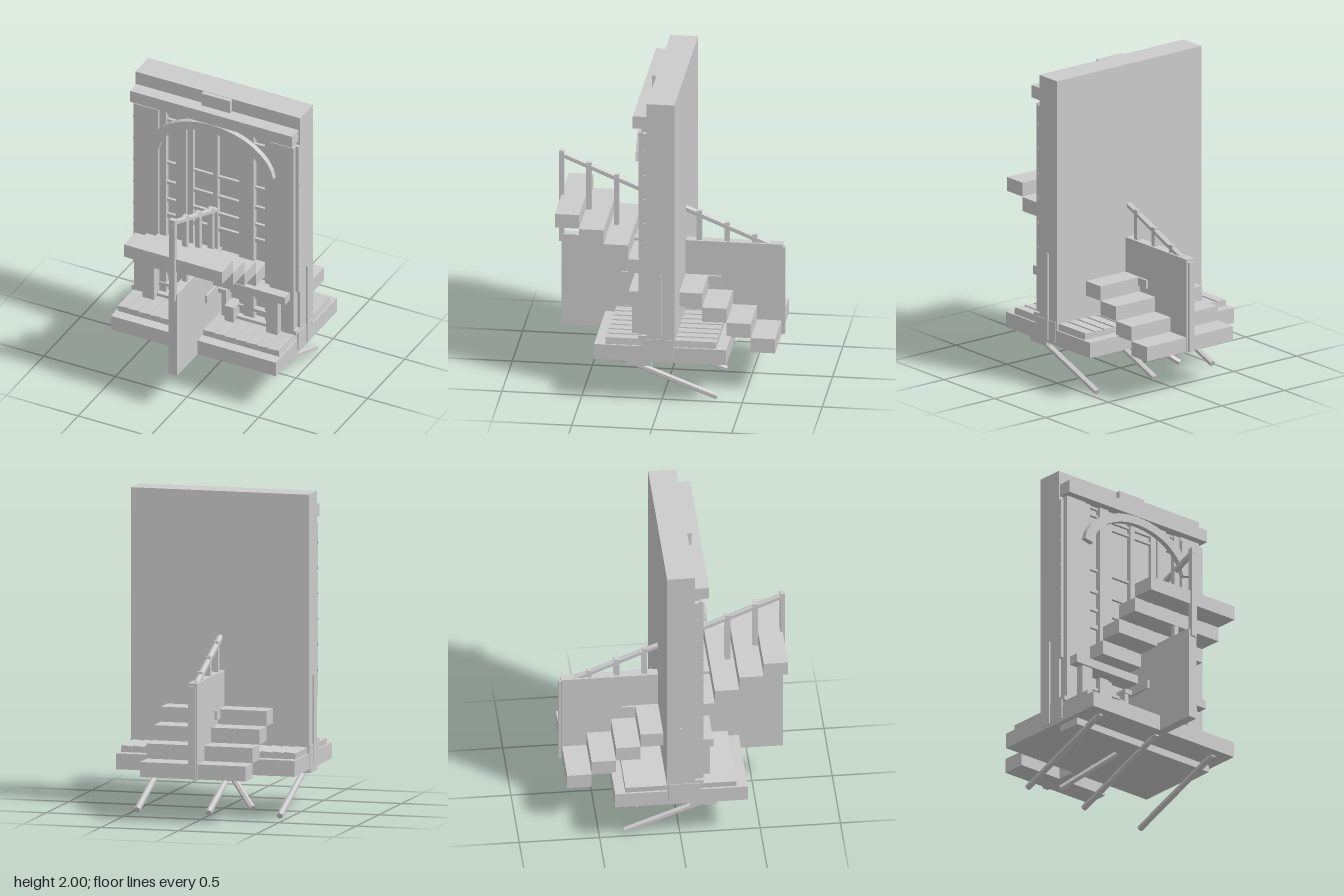
import * as THREE from 'three';

const mat = new THREE.MeshStandardMaterial({ color: 0xcccccc, flatShading: true });

export function createModel() {
  const model = new THREE.Group();

  const add = (name, geometry) => {
    const mesh = new THREE.Mesh(geometry, mat);
    mesh.name = name;
    model.add(mesh);
    return mesh;
  };
  // Box given by its limits on each axis
  const box = (name, x0, x1, y0, y1, z0, z1) => {
    const mesh = add(name, new THREE.BoxGeometry(x1 - x0, y1 - y0, z1 - z0));
    mesh.position.set((x0 + x1) / 2, (y0 + y1) / 2, (z0 + z1) / 2);
    return mesh;
  };
  // The same box on both sides of x = 0
  const pair = (name, x0, x1, ...rest) => {
    box(name + 'Left', x0, x1, ...rest);
    box(name + 'Right', -x1, -x0, ...rest);
  };
  // Six-sided bar between two points
  const bar = (name, a, b, r) => {
    const p = new THREE.Vector3(...a), q = new THREE.Vector3(...b);
    const dir = q.clone().sub(p);
    const mesh = add(name, new THREE.CylinderGeometry(r, r, dir.length(), 6));
    mesh.position.copy(p).add(q).multiplyScalar(0.5);
    mesh.quaternion.setFromUnitVectors(new THREE.Vector3(0, 1, 0), dir.normalize());
  };

  // Main wall, cornice and keystone
  box('wall', -0.575, 0.575, 0.29, 2, -0.087, 0.087);
  box('keystone', -0.1, 0.1, 1.9, 1.998, 0.08, 0.115);
  box('cornice', -0.565, 0.565, 1.83, 1.91, 0.08, 0.175);
  pair('sideStrip', 0.57, 0.585, 0.3, 0.86, -0.008, 0.008);

  // Base with sloping floor boards
  box('base', -0.575, 0.575, 0.28, 0.38, -0.41, 0.415);
  pair('baseEnd', 0.57, 0.58, 0.3, 0.43, -0.08, 0.12);
  for (let i = 0; i < 15; i++) {
    const x = -0.525 + i * 0.075;
    box('floorBoard', x - 0.037, x + 0.037, 0.37, 0.42, -0.345, 0.345).rotation.z = 0.09;
  }
  box('underBeam', -0.54, 0.54, 0.235, 0.285, 0.06, 0.22);

  // Pilasters beside the window
  pair('pilaster', 0.39, 0.555, 0.42, 1.8, 0.08, 0.14);
  pair('pilasterCap', 0.39, 0.54, 1.79, 1.835, 0.08, 0.125);
  pair('pilasterEdge', 0.55, 0.575, 0.72, 1.8, 0.08, 0.11);
  for (const y of [0.87, 1.03, 1.19, 1.35, 1.51, 1.67])
    pair('edgePeg', 0.57, 0.58, y, y + 0.015, 0.09, 0.105);

  // Window frame: wide posts, slim bars and cross bars
  pair('windowPost', 0.2, 0.27, 0.43, 1.83, 0.08, 0.125);
  pair('windowPostEdge', 0.16, 0.2, 0.43, 1.83, 0.08, 0.11);
  pair('windowSide', 0.345, 0.39, 0.43, 1.83, 0.08, 0.115);
  box('windowMullion', -0.015, 0.015, 0.43, 1.83, 0.08, 0.12);
  for (const [y0, y1] of [[0.58, 0.6], [0.84, 0.86], [1.0, 1.03], [1.12, 1.14],
    [1.245, 1.268], [1.395, 1.412], [1.712, 1.73], [1.765, 1.78], [1.815, 1.83]])
    box('windowCrossBar', -0.39, 0.39, y0, y1, 0.08, 0.106);

  // Arched band over the window, built of straight segments
  const arch = new THREE.Shape();
  const N = 16, start = 0.1, span = Math.PI - 2 * start;
  for (let i = 0; i <= N; i++) {
    const a = start + span * i / N;
    arch[i ? 'lineTo' : 'moveTo'](0.435 * Math.cos(a), 1.525 + 0.303 * Math.sin(a));
  }
  for (let i = N; i >= 0; i--) {
    const a = start + span * i / N;
    arch.lineTo(0.37 * Math.cos(a), 1.515 + 0.26 * Math.sin(a));
  }
  arch.closePath();
  const archBand = add('archBand', new THREE.ExtrudeGeometry(arch, { depth: 0.035, bevelEnabled: false }));
  archBand.position.z = 0.14;

  // Lower shelf on posts, with rails between
  box('shelf', -0.53, 0.53, 0.67, 0.725, 0.08, 0.205);
  pair('shelfPost', 0.39, 0.47, 0.42, 0.67, 0.08, 0.19);
  pair('shelfFoot', 0.53, 0.575, 0.42, 0.45, 0.08, 0.14);
  pair('lowRail', 0.1, 0.39, 0.5, 0.52, 0.08, 0.125);
  pair('floorRail', 0.1, 0.39, 0.43, 0.45, 0.08, 0.15);

  // Small stand at the centre
  box('standTop', -0.1, 0.1, 0.6, 0.63, 0.08, 0.17);
  pair('standLeg', 0.065, 0.095, 0.43, 0.6, 0.08, 0.16);
  pair('standFoot', 0.1, 0.165, 0.42, 0.53, 0.08, 0.19);
  box('crossBeam', -0.045, 0.045, 0.6, 0.655, -0.31, 0.315);

  // Central partition in front of and behind the wall
  box('partition', -0.03, 0.03, 0.28, 0.88, -0.69, 0.69);
  box('backEndPost', -0.02, 0.02, 0.28, 0.86, -0.705, -0.685);
  box('frontEndPost', -0.02, 0.02, 0.83, 1.43, 0.675, 0.705);

  // Floating steps, high in front and low behind
  for (let i = 0; i < 4; i++) {
    const zf = 0.69 - i * 0.152, yf = 1.14 - i * 0.093;
    box('frontStep', -0.342, 0.342, yf - 0.09, yf, zf - 0.152, zf);
    const zb = -0.685 + i * 0.152, yb = 0.28 + i * 0.094;
    box('backStep', -0.342, 0.342, yb, yb + 0.094, zb, zb + 0.152);
  }

  // Sloping handrail and balusters
  const railY = z => 1.405 + (z - 0.69) * 0.415;
  bar('handrail', [0, railY(0.7), 0.7], [0, railY(-0.61), -0.61], 0.02);
  for (const z of [0.52, 0.348, 0.175, -0.17, -0.343, -0.515])
    box('baluster', -0.016, 0.016, 0.87, railY(z) + 0.025, z - 0.016, z + 0.016);

  // Struts and pipe stub under the base
  for (const x of [-0.46, 0, 0.46])
    bar('strut', [x, 0.285, 0.35], [x, 0.021, -0.34], 0.02);
  bar('diagonalStrut', [0, 0.285, 0], [-0.26, 0.05, -0.26], 0.02);
  bar('pipeStub', [0, 0.3, -0.2], [0, 0.265, -0.27], 0.02);

  return model;
}
